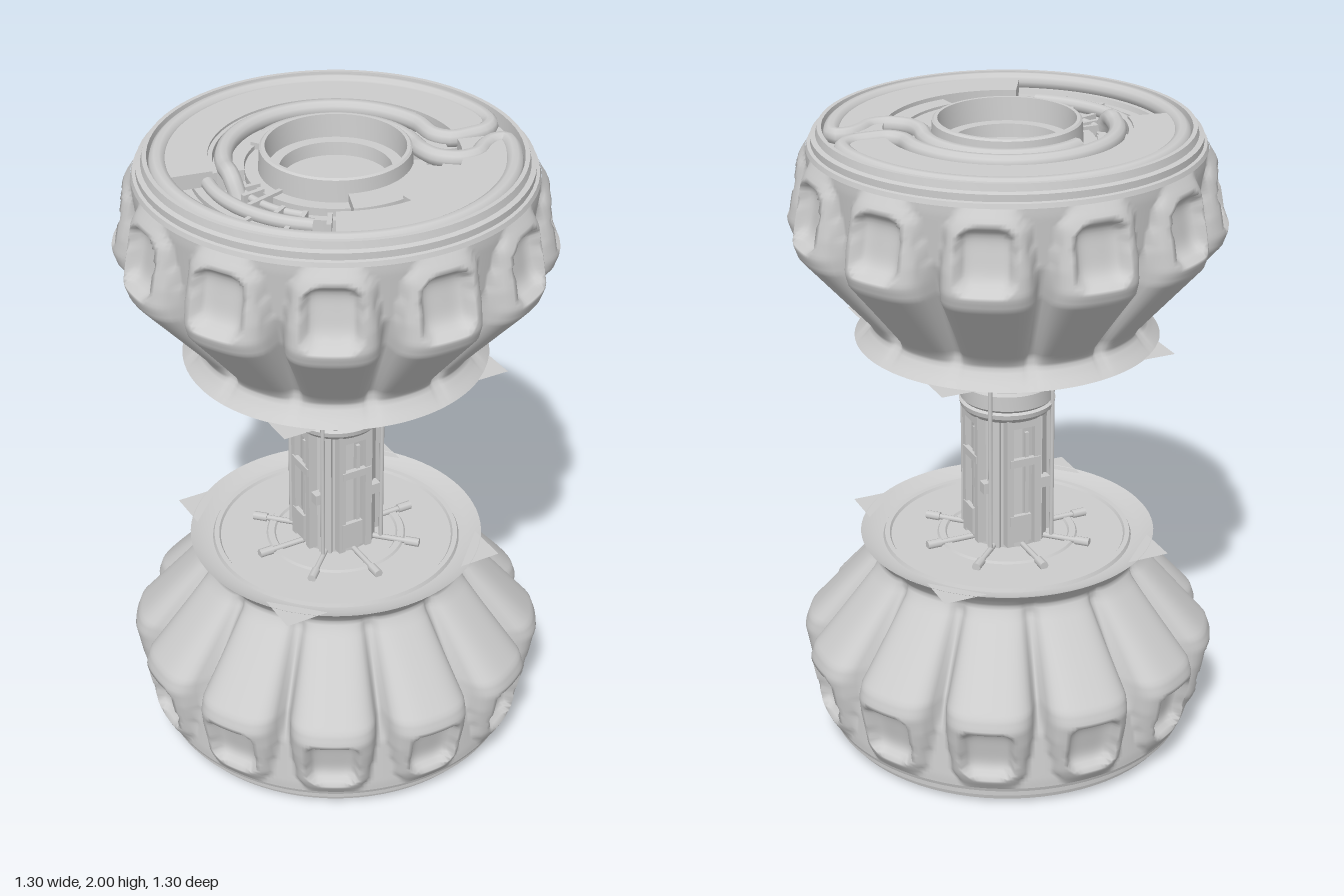
import * as THREE from 'three';
import { toCreasedNormals } from 'three/addons/utils/BufferGeometryUtils.js';

const grey = new THREE.MeshStandardMaterial({ color: 0xcccccc });
grey.name = 'light grey';
const greyThin = new THREE.MeshStandardMaterial({ color: 0xcccccc, side: THREE.DoubleSide });
greyThin.name = 'light grey thin';

const rad = THREE.MathUtils.degToRad;
const v3 = (x, y, z) => new THREE.Vector3(x, y, z);

// Piecewise linear lookup in [[key, value], ...]
function lerpTable(table, t) {
  for (let i = 1; i < table.length; i++) {
    const [k0, a] = table[i - 1], [k1, b] = table[i];
    if (t <= k1) return a + (b - a) * Math.max(0, (t - k0) / (k1 - k0));
  }
  return table[table.length - 1][1];
}

function lathe(points, segments = 80) {
  const g = new THREE.LatheGeometry(points.map(p => new THREE.Vector2(p[0], p[1])), segments);
  return toCreasedNormals(g, 0.5);
}

// Flat ring sector; degrees run anticlockwise from +x as seen from above
function sector(r0, r1, a0, a1, y0, y1) {
  const s = new THREE.Shape();
  s.absarc(0, 0, r1, rad(a0), rad(a1), false);
  s.absarc(0, 0, r0, rad(a1), rad(a0), true);
  const g = new THREE.ExtrudeGeometry(s, { depth: y1 - y0, bevelEnabled: false, curveSegments: 40 });
  return toCreasedNormals(g.rotateX(-Math.PI / 2).translate(0, y0, 0), 0.5);
}

// Points along an arc on the end face, same angles as sector()
function arc(r, a0, a1, y) {
  const n = Math.max(2, Math.ceil(Math.abs(a1 - a0) / 12));
  return Array.from({ length: n + 1 }, (_, i) => {
    const a = rad(a0 + (a1 - a0) * i / n);
    return v3(r * Math.cos(a), y, -r * Math.sin(a));
  });
}

const pipe = (pts, r, segs) =>
  new THREE.TubeGeometry(new THREE.CatmullRomCurve3(pts, false, 'centripetal'), segs, r, 10);

// Twelve swelling lobes around a flared drum, each with a scooped window
function lobedDrum() {
  const valley = [[1.333, 0.46], [1.36, 0.43], [1.39, 0.405], [1.42, 0.405], [1.65, 0.535], [1.75, 0.57], [1.9, 0.585], [1.925, 0.585]];
  const crest = [[1.333, 0.46], [1.36, 0.435], [1.39, 0.415], [1.42, 0.435], [1.65, 0.638], [1.69, 0.652], [1.86, 0.62], [1.89, 0.608], [1.925, 0.585]];
  const halfAngle = [[1.39, 0.225], [1.65, 0.24], [1.75, 0.225], [1.87, 0.19], [1.925, 0.13]];
  const rows = 54, per = 28, cols = per * 12, pitch = Math.PI / 6;
  const pos = [], idx = [];
  for (let i = 0; i <= rows; i++) {
    const y = 1.333 + (1.925 - 1.333) * i / rows;
    const r0 = lerpTable(valley, y), r1 = lerpTable(crest, y), hw = lerpTable(halfAngle, y);
    for (let j = 0; j < cols; j++) {
      const a = j / cols * Math.PI * 2;
      const phi = a - Math.round(a / pitch) * pitch;
      const u = Math.min(1, Math.abs(phi) / hw);
      let r = r0 + (r1 - r0) * Math.sqrt(1 - u ** 3.5);
      const d = (r * Math.sin(phi) / 0.082) ** 4 + ((y - 1.785) / 0.088) ** 4;
      if (d < 1) r -= 0.05 * Math.sqrt(1 - d);
      pos.push(r * Math.sin(a), y, r * Math.cos(a));
      if (i < rows) {
        const k = i * cols + j, n = i * cols + (j + 1) % cols;
        idx.push(k, n, n + cols, k, n + cols, k + cols);
      }
    }
  }
  const g = new THREE.BufferGeometry();
  g.setAttribute('position', new THREE.Float32BufferAttribute(pos, 3));
  g.setIndex(idx);
  g.computeVertexNormals();
  return g;
}

// Reflects a geometry through y = 1, keeping its faces outward
function mirrored(geo) {
  const g = geo.clone().scale(1, -1, 1).translate(0, 2, 0);
  const idx = g.index ? Array.from(g.index.array) : [...Array(g.attributes.position.count).keys()];
  for (let i = 0; i < idx.length; i += 3) [idx[i], idx[i + 1]] = [idx[i + 1], idx[i]];
  g.setIndex(idx);
  return g;
}

export function createModel() {
  const model = new THREE.Group();
  model.name = 'lobedSpool';
  const upper = new THREE.Group(), lower = new THREE.Group(), column = new THREE.Group();
  upper.name = 'upperDrum'; lower.name = 'lowerDrum'; column.name = 'column';
  model.add(upper, lower, column);

  const put = (parent, name, geo, mat = grey) => {
    const m = new THREE.Mesh(geo, mat);
    m.name = name;
    parent.add(m);
  };
  const both = (name, geo, mat) => {
    put(upper, name, geo, mat);
    put(lower, name, mirrored(geo), mat);
  };

  both('lobes', lobedDrum());

  // Stepped end face with grooves, central collar and well
  both('endFace', lathe([
    [0.585, 1.922], [0.58, 1.938], [0.57, 1.94], [0.57, 1.96], [0.555, 1.964], [0.55, 1.985], [0.537, 1.985],
    [0.532, 1.945], [0.475, 1.945], [0.47, 1.93], [0.445, 1.93], [0.445, 1.915], [0.42, 1.915], [0.42, 1.93],
    [0.40, 1.93], [0.40, 1.91], [0.36, 1.91], [0.36, 1.88], [0.31, 1.88], [0.31, 1.92], [0.285, 1.92],
    [0.285, 1.905], [0.26, 1.905], [0.26, 1.93], [0.222, 1.93], [0.218, 1.995], [0.212, 2], [0.202, 2],
    [0.196, 1.93], [0.162, 1.93], [0.158, 1.89], [0, 1.89]]));

  // Cover plates
  both('backPlate', sector(0.365, 0.49, -6, 170, 1.93, 1.975));
  both('backPlateEdge', sector(0.352, 0.366, 20, 170, 1.9, 1.968));
  both('backInnerPlate', sector(0.262, 0.354, 0, 160, 1.88, 1.94));
  both('backInnerStep', sector(0.215, 0.275, 30, 125, 1.91, 1.95));
  both('frontPlate', sector(0.36, 0.49, 241, 345, 1.93, 1.975));
  both('frontInnerPlate', sector(0.215, 0.31, 250, 322, 1.9, 1.955));
  both('frontInnerFill', sector(0.305, 0.365, 278, 322, 1.87, 1.963));
  both('bridgePlate', sector(0.2, 0.33, -18, 8, 1.91, 1.955));

  // One long pipe: inner sweep, bend, outer ring, S bend, inner sweep
  const y = 1.963;
  both('longPipe', pipe([
    v3(-0.315, 1.9, 0.02), ...arc(0.32, 175, 12, 1.965),
    v3(0.315, y, 0.02), v3(0.345, y, 0.06), v3(0.4, y, 0.068), v3(0.46, y, 0.064), v3(0.495, y, 0.035),
    ...arc(0.507, 3, 340, y),
    v3(0.477, y, 0.145), v3(0.44, y, 0.137), v3(0.4, y, 0.155), v3(0.355, y, 0.188), v3(0.3, y, 0.187),
    v3(0.25, y, 0.145), v3(0.235, y, 0.09), ...arc(0.245, -8, 120, 1.957)], 0.026, 300));
  both('trenchPipe', pipe(arc(0.38, 168, 232, 1.94), 0.02, 40));
  both('trenchPipeThin', pipe(arc(0.3, 180, 225, 1.925), 0.012, 24));

  // Small brackets in the open trench
  [[0.29, 180, 0.09], [0.29, 188, 0.07], [0.28, 197, 0.14], [0.33, 212, 0.07], [0.335, 225, 0.07],
    [0.335, 238, 0.07], [0.335, 252, 0.07], [0.335, 266, 0.07], [0.42, 205, 0.06], [0.42, 222, 0.06],
    [0.36, -12, 0.06], [0.4, -14, 0.05]].forEach(([r, deg, len]) => {
    const g = new THREE.BoxGeometry(len, 0.03, 0.014).translate(r, 1.925, 0).rotateY(rad(deg));
    both('trenchBracket', g);
  });

  // Inner end disc, facing the column
  both('innerDisc', lathe([
    [0, 1.352], [0.19, 1.352], [0.195, 1.345], [0.215, 1.345], [0.22, 1.352], [0.365, 1.352],
    [0.37, 1.344], [0.385, 1.344], [0.39, 1.355], [0.42, 1.352], [0.46, 1.333]]));
  for (let i = 0; i < 8; i++) {
    const spoke = new THREE.CylinderGeometry(0.009, 0.009, 0.15, 8)
      .rotateZ(Math.PI / 2).translate(0.19, 1.343, 0).rotateY(i * Math.PI / 4);
    both('spoke', spoke);
    const tip = new THREE.CylinderGeometry(0.014, 0.014, 0.045, 8)
      .rotateZ(Math.PI / 2).translate(0.25, 1.343, 0).rotateY(i * Math.PI / 4);
    both('spokeTip', tip);
  }

  // Four pointed corners of a square flange
  for (let i = 0; i < 4; i++) {
    const s = new THREE.Shape([[0.43, -0.097], [0.527, 0], [0.43, 0.097]].map(p => new THREE.Vector2(...p)));
    const g = new THREE.ShapeGeometry(s).rotateX(-Math.PI / 2)
      .rotateY(Math.PI / 4 + i * Math.PI / 2).translate(0, 1.334, 0);
    both('flangeCorner', g, greyThin);
  }

  // Column shaft and collar
  put(column, 'shaft', toCreasedNormals(new THREE.CylinderGeometry(0.112, 0.112, 0.46, 16), 0.2).translate(0, 0.87, 0));
  put(column, 'collar', lathe([
    [0.11, 1.085], [0.132, 1.085], [0.145, 1.1], [0.148, 1.115], [0.138, 1.12], [0.145, 1.128], [0.145, 1.175],
    [0.138, 1.185], [0.138, 1.193], [0.158, 1.196], [0.16, 1.205], [0.152, 1.215], [0.128, 1.225], [0.124, 1.36]], 48));
  for (let i = 0; i < 4; i++) {
    const a = i * Math.PI / 2;
    const bar = (name, x, yc, z, w, h, d) =>
      put(column, name, new THREE.BoxGeometry(w, h, d).translate(x, yc, z).rotateY(a));
    // Framed panel on each main side
    for (const s of [-1, 1]) {
      bar('panelPost', s * 0.046, 0.88, 0.112, 0.022, 0.44, 0.028);
      bar('collarLug', s * 0.022, 1.275, 0.125, 0.012, 0.09, 0.02);
    }
    bar('panelHead', 0, 1.075, 0.112, 0.11, 0.03, 0.028);
    bar('panelStrip', 0.012, 0.85, 0.114, 0.012, 0.38, 0.012);
    bar('panelClip', 0.004, 0.945, 0.122, 0.1, 0.025, 0.016);
    bar('panelFoot', -0.012, 0.72, 0.122, 0.07, 0.09, 0.014);
    bar('sideClip', 0.075, 0.86, 0.105, 0.03, 0.035, 0.03);
    // Thin rods on the diagonals
    const rod = new THREE.CylinderGeometry(0.007, 0.007, 0.55, 8).translate(0, 0.925, 0.147).rotateY(a + Math.PI / 4);
    put(column, 'rod', rod);
    const rib = new THREE.BoxGeometry(0.04, 0.44, 0.02).translate(0, 0.87, 0.112).rotateY(a + Math.PI / 4);
    put(column, 'diagonalRib', rib);
  }
  return model;
}
